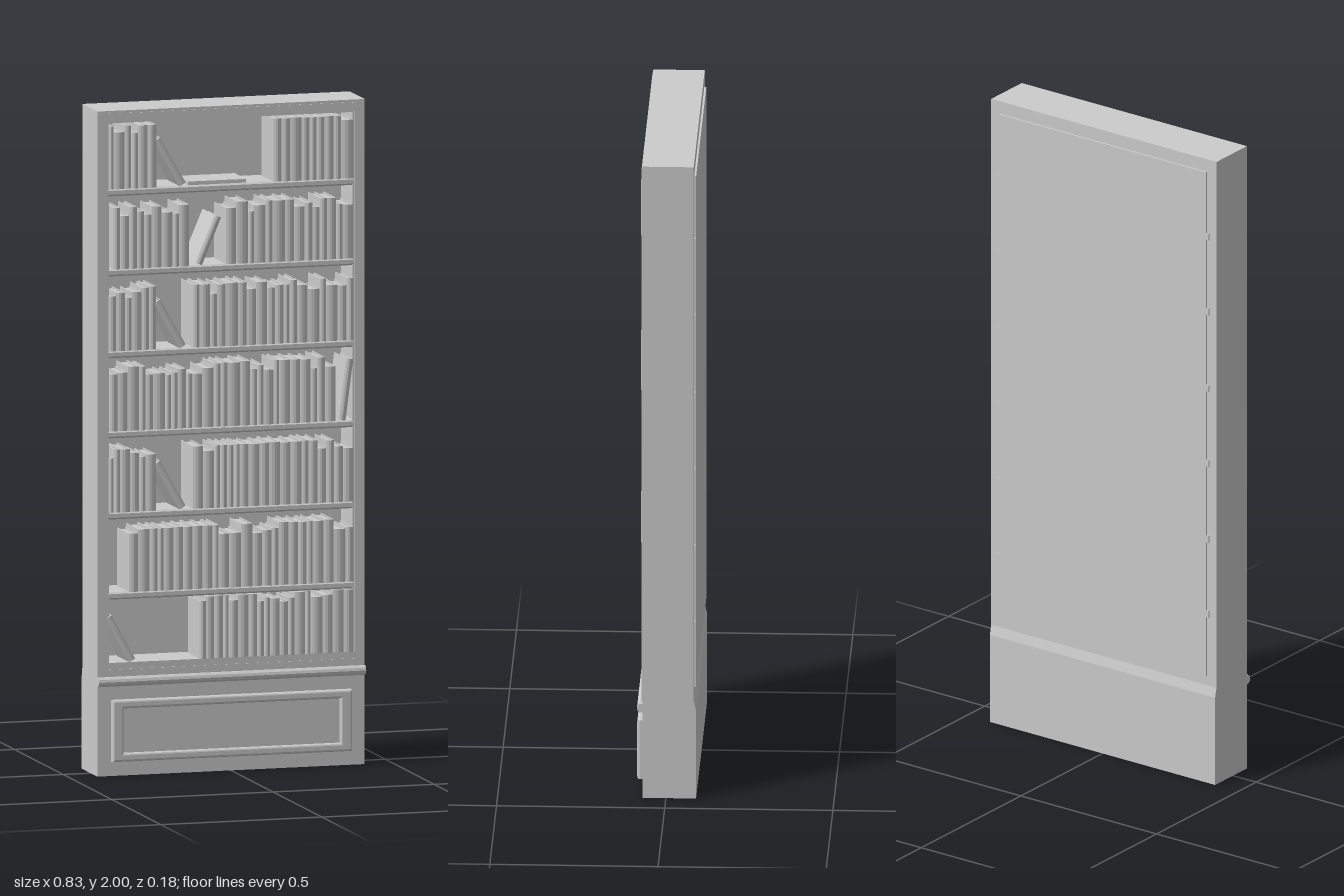
import * as THREE from 'three';

const W = 0.415, INNER = 0.383, FRONT = 0.07, BACK = -0.083;
const material = new THREE.MeshStandardMaterial({ color: 0xcccccc, flatShading: true });

let seed = 7;
function rand() {
  seed = (seed * 16807) % 2147483647;
  return seed / 2147483647;
}

function add(parent, name, geometry, x = 0, y = 0, z = 0) {
  const mesh = new THREE.Mesh(geometry, material);
  mesh.name = name;
  mesh.position.set(x, y, z);
  parent.add(mesh);
  return mesh;
}

// Box given by its minimum and maximum corners
function block(parent, name, x0, x1, y0, y1, z0, z1) {
  return add(parent, name, new THREE.BoxGeometry(x1 - x0, y1 - y0, z1 - z0),
    (x0 + x1) / 2, (y0 + y1) / 2, (z0 + z1) / 2);
}

function rectangle(Type, x0, x1, y0, y1) {
  return new Type([[x0, y0], [x1, y0], [x1, y1], [x0, y1]].map(p => new THREE.Vector2(...p)));
}

function frameShape(x, y0, y1, side, rail) {
  const shape = rectangle(THREE.Shape, -x, x, y0, y1);
  shape.holes.push(rectangle(THREE.Path, -x + side, x - side, y0 + rail, y1 - rail));
  return shape;
}

// Side profile of [z, y] points swept along the full width
function sweepWidth(points, halfWidth) {
  const shape = new THREE.Shape(points.map(([z, y]) => new THREE.Vector2(-z, y)));
  return new THREE.ExtrudeGeometry(shape, { depth: 2 * halfWidth, bevelEnabled: false })
    .rotateY(Math.PI / 2).translate(-halfWidth, 0, 0);
}

// Hardback: U-shaped cover with a rounded spine around a lower page block
function makeBook(width, height, depth) {
  const book = new THREE.Group();
  book.name = 'book';
  const w = width / 2, board = Math.min(0.003, width * 0.15), d = depth - 0.006;
  const s = new THREE.Shape();
  s.moveTo(-w, d);
  s.lineTo(-w, 0);
  s.quadraticCurveTo(0, -0.01, w, 0);
  s.lineTo(w, d);
  s.lineTo(w - board, d);
  s.lineTo(w - board, board);
  s.lineTo(-w + board, board);
  s.lineTo(-w + board, d);
  s.closePath();
  const cover = new THREE.ExtrudeGeometry(s, { depth: height, bevelEnabled: false, curveSegments: 4 });
  add(book, 'cover', cover.rotateX(-Math.PI / 2));
  block(book, 'pages', -w + board, w - board, 0.003, height - 0.005, -d + 0.004, -board);
  return book;
}

function fillRow(parent, x0, x1, y, maxHeight) {
  const widths = [];
  let total = 0;
  while (total < x1 - x0 - 0.012) {
    widths.push(0.018 + 0.02 * rand());
    total += widths[widths.length - 1];
  }
  const scale = (x1 - x0) / total;
  let x = x0;
  for (const raw of widths) {
    const width = raw * scale;
    const height = maxHeight * (rand() < 0.65 ? 0.98 + 0.02 * rand() : 0.83 + 0.1 * rand());
    const book = makeBook(width - 0.001, height, 0.125 + 0.006 * rand());
    book.position.set(x + width / 2, y, FRONT - 0.003 + 0.005 * rand());
    parent.add(book);
    x += width;
  }
}

function leanBook(parent, x, y, length, angle, width = 0.022) {
  const book = makeBook(width, length, 0.13);
  book.rotation.z = angle;
  book.position.set(x, y + width / 2 * Math.sin(Math.abs(angle)), FRONT - 0.002);
  parent.add(book);
}

export function createModel() {
  const root = new THREE.Group();
  root.name = 'bookcase';

  // Carcass
  for (const s of [-1, 1]) {
    const xs = [s * INNER, s * W].sort((a, b) => a - b);
    block(root, 'sidePanel', ...xs, 0.3, 2, BACK, FRONT);
  }
  block(root, 'topPanel', -INNER, INNER, 1.967, 2, BACK, FRONT);
  block(root, 'backPanel', -0.38, 0.38, 0.34, 1.96, -0.089, -0.068);
  block(root, 'backFiller', -INNER, INNER, 0.3, 1.967, BACK, -0.07);

  // Thin stepped edging around the front opening
  const edging = new THREE.ExtrudeGeometry(frameShape(0.41, 0.302, 1.992, 0.022, 0.018),
    { depth: 0.002, bevelEnabled: false });
  add(root, 'frontEdging', edging, 0, 0, FRONT);
  const lip = new THREE.ExtrudeGeometry(frameShape(0.386, 0.33, 1.97, 0.008, 0.008),
    { depth: 0.01, bevelEnabled: false });
  add(root, 'innerLip', lip, 0, 0, FRONT - 0.015);

  // Plinth, deeper at the back with a sloping shoulder
  add(root, 'plinth', sweepWidth([[FRONT, 0], [FRONT, 0.34], [BACK, 0.34], [BACK, 0.31],
    [-0.09, 0.28], [-0.09, 0]], W));
  add(root, 'ledgeMoulding', sweepWidth([[FRONT - 0.005, 0.27], [0.078, 0.27], [0.084, 0.276],
    [0.086, 0.284], [0.084, 0.292], [0.078, 0.298], [FRONT - 0.005, 0.298]], W));

  // Rounded frame and flat field on the plinth front
  const moulding = new THREE.ExtrudeGeometry(frameShape(0.365, 0.05, 0.222, 0.022, 0.012),
    { depth: 0.009, bevelThickness: 0.008, bevelSize: 0.007, bevelSegments: 3 });
  add(root, 'plinthMoulding', moulding, 0, 0, FRONT);
  block(root, 'plinthField', -0.335, 0.335, 0.065, 0.205, FRONT - 0.01, FRONT + 0.004);

  // Shelves, with small tabs showing beside the back panel
  const shelfTops = [1.764, 1.523, 1.277, 1.036, 0.792, 0.551];
  for (const y of shelfTops) {
    add(root, 'shelf', sweepWidth([[-0.07, y - 0.022], [0.061, y - 0.022], [0.066, y - 0.017],
      [0.066, y - 0.005], [0.061, y], [-0.07, y]], INNER));
    for (const s of [-1, 1]) {
      add(root, 'shelfTab', new THREE.BoxGeometry(0.012, 0.022, 0.008), s * 0.383, y - 0.011, -0.083);
    }
  }

  // Books: upright runs as [x0, x1], leaning ones as [x, length, angle]
  const rows = [
    { y: 1.764, h: 0.191, runs: [[-0.38, -0.232], [0.132, 0.38]], lean: [-0.15, 0.16, 0.52] },
    { y: 1.523, h: 0.187, runs: [[-0.365, -0.13], [-0.015, 0.38]], lean: [-0.1, 0.153, -0.4] },
    { y: 1.277, h: 0.19, runs: [[-0.38, -0.232], [-0.118, 0.38]], lean: [-0.15, 0.16, 0.52] },
    { y: 1.036, h: 0.194, runs: [[-0.377, 0.325]], lean: [0.345, 0.185, -0.13] },
    { y: 0.792, h: 0.19, runs: [[-0.38, -0.232], [-0.118, 0.38]], lean: [-0.15, 0.16, 0.52] },
    { y: 0.551, h: 0.19, runs: [[-0.318, 0.38]] },
    { y: 0.34, h: 0.19, runs: [[-0.098, 0.38]], lean: [-0.307, 0.152, 0.5] },
  ];
  for (const { y, h, runs, lean } of rows) {
    const row = new THREE.Group();
    row.name = 'bookRow';
    for (const [x0, x1] of runs) fillRow(row, x0, x1, y, h);
    if (lean) leanBook(row, lean[0], y, lean[1], lean[2]);
    root.add(row);
  }
  block(root, 'flatBook', -0.13, 0.05, 1.764, 1.775, -0.055, 0.06);

  return root;
}
